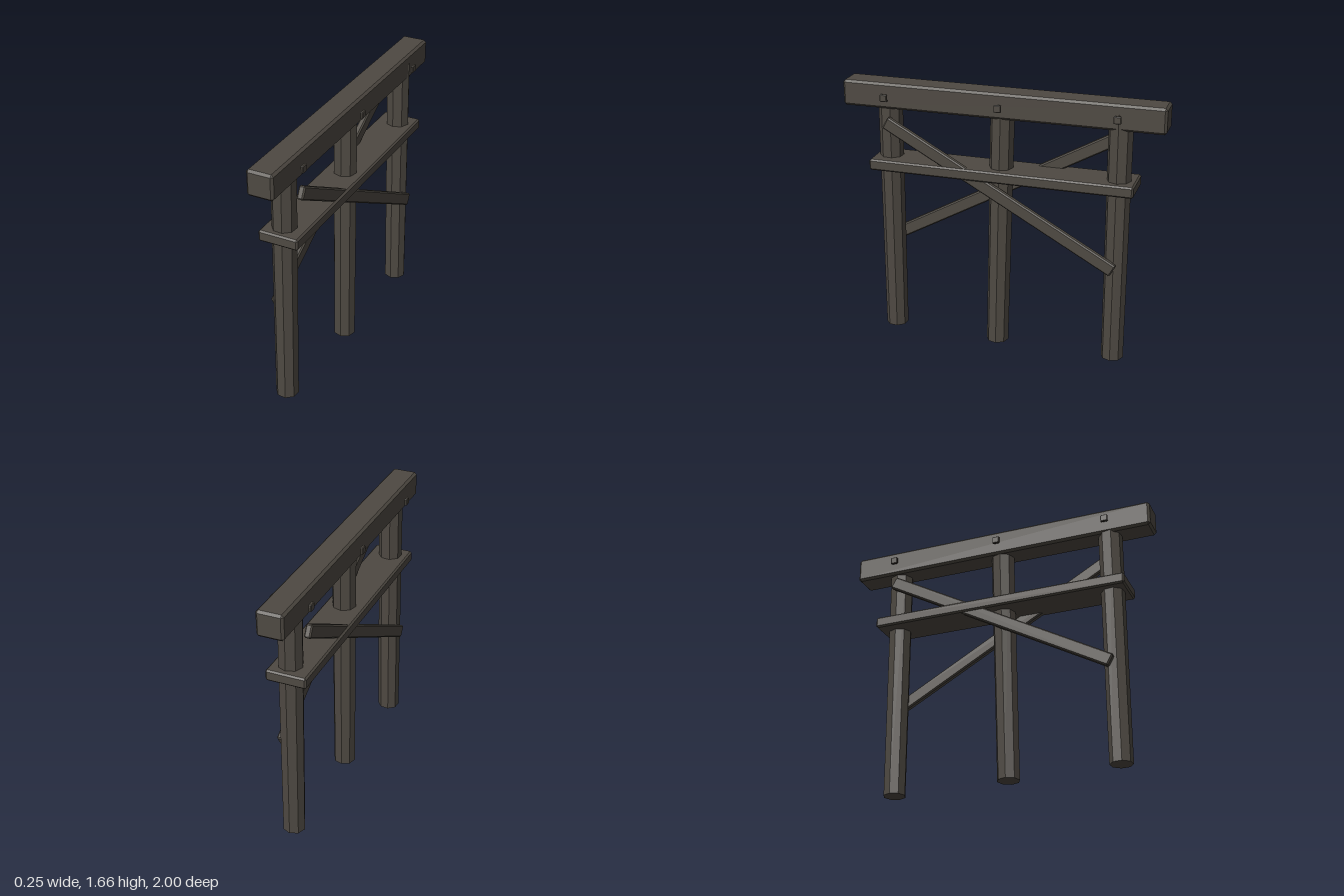
import * as THREE from 'three';
import { ConvexGeometry } from 'three/addons/geometries/ConvexGeometry.js';

const wood = new THREE.MeshStandardMaterial({ color: 0x4e4942 });
wood.name = 'darkWood';

// Box with flat chamfers along every edge
function chamferBox(w, h, d, c) {
  const points = [];
  for (const sx of [-1, 1]) for (const sy of [-1, 1]) for (const sz of [-1, 1]) {
    const x = w / 2, y = h / 2, z = d / 2;
    points.push(
      new THREE.Vector3(sx * x, sy * (y - c), sz * (z - c)),
      new THREE.Vector3(sx * (x - c), sy * y, sz * (z - c)),
      new THREE.Vector3(sx * (x - c), sy * (y - c), sz * z));
  }
  return new ConvexGeometry(points);
}

// Eight-sided post, sheared so that both ends stay level
function leaningPost(bottom, top, height, turn) {
  const g = new THREE.CylinderGeometry(0.075, 0.07, height, 8).toNonIndexed();
  g.rotateY(turn).translate(0, height / 2, 0);
  const p = g.attributes.position;
  for (let i = 0; i < p.count; i++) {
    const t = p.getY(i) / height;
    p.setX(i, p.getX(i) + THREE.MathUtils.lerp(bottom[0], top[0], t));
    p.setZ(i, p.getZ(i) + THREE.MathUtils.lerp(bottom[1], top[1], t));
  }
  g.computeVertexNormals();
  return g;
}

export function createModel() {
  const model = new THREE.Group();
  model.name = 'timberTrestle';
  const add = (name, geometry, x = 0, y = 0, z = 0) => {
    const mesh = new THREE.Mesh(geometry, wood);
    mesh.name = name;
    mesh.position.set(x, y, z);
    model.add(mesh);
    return mesh;
  };

  // Top beam and the flat plank the posts pass through
  add('topBeam', chamferBox(0.165, 0.16, 2, 0.014), -0.002, 1.58, 0);
  add('plank', chamferBox(0.25, 0.07, 1.66, 0.01), -0.002, 1.142, 0);

  // Posts: [x, z] at the foot, [x, z] at the top, twist
  add('frontPost', leaningPost([-0.022, 0.737], [-0.01, 0.725], 1.6, 0.3));
  add('middlePost', leaningPost([0.01, 0.033], [0, 0], 1.6, 0.1));
  add('backPost', leaningPost([0.02, -0.722], [0.01, -0.722], 1.6, 0));

  // Crossed braces, one on each side
  for (const side of [1, -1]) {
    const brace = add(side > 0 ? 'leftBrace' : 'rightBrace',
      chamferBox(0.04, 0.08, 1.65, 0.008), side * 0.094 - 0.002, 1.02, 0);
    brace.rotation.x = -side * Math.atan2(0.8, 1.44);
  }

  // Square pegs along both sides of the beam
  for (const side of [1, -1]) for (const z of [0.72, 0, -0.72])
    add('peg', chamferBox(0.018, 0.045, 0.045, 0.004), side * 0.116 - 0.002, 1.578, z);

  return model;
}
